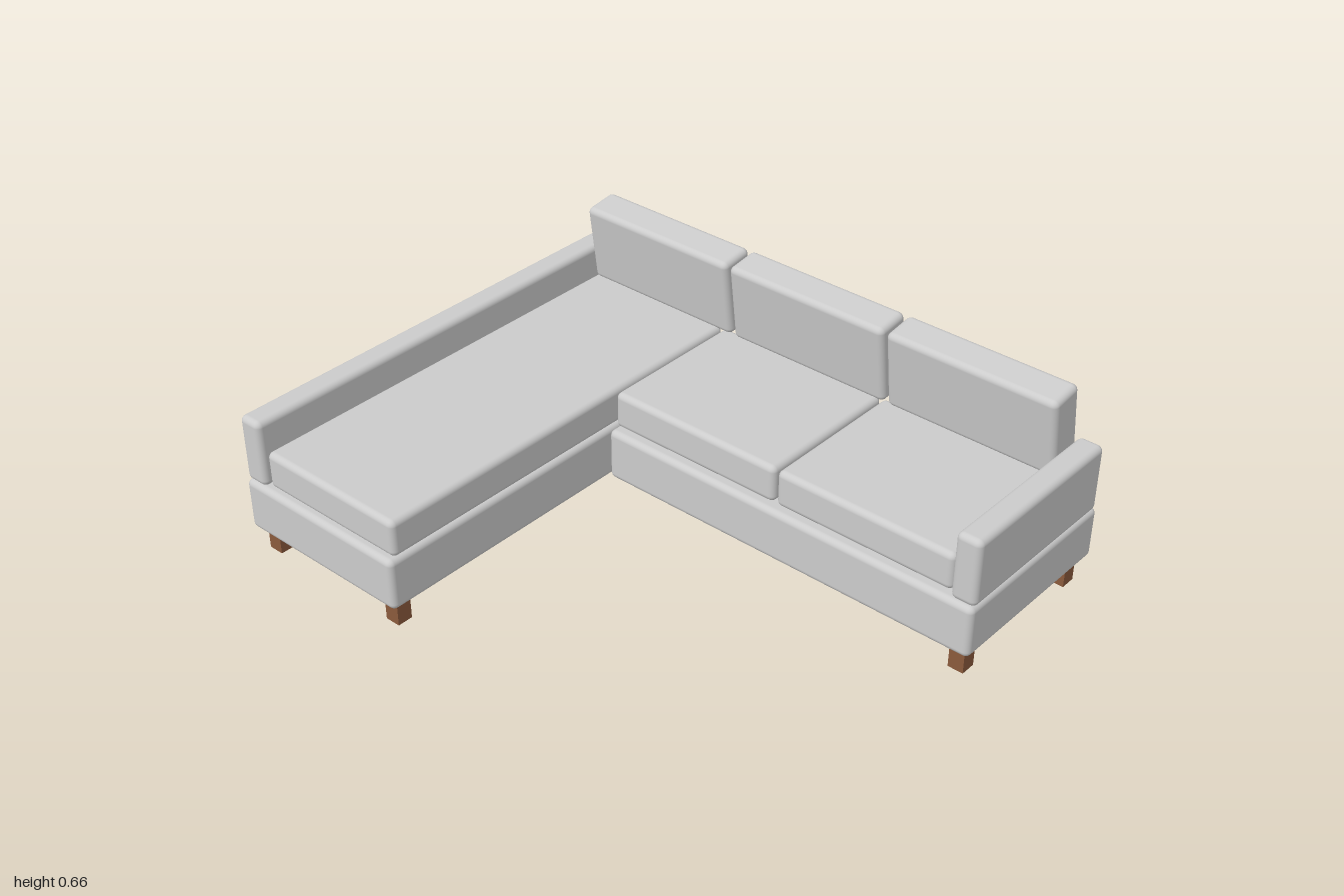
import * as THREE from 'three';
import { RoundedBoxGeometry } from 'three/addons/geometries/RoundedBoxGeometry.js';

export function createModel() {
  const sofa = new THREE.Group();
  sofa.name = 'cornerSofa';
  const fabric = new THREE.MeshStandardMaterial({ color: 0xcccccc });
  const wood = new THREE.MeshStandardMaterial({ color: 0x8a5a3c });

  // Soft-edged block given by its extents on each axis
  function block(name, [x0, x1], [y0, y1], [z0, z1], radius = 0.02) {
    const geometry = new RoundedBoxGeometry(x1 - x0, y1 - y0, z1 - z0, 4, radius);
    const mesh = new THREE.Mesh(geometry, fabric);
    mesh.name = name;
    mesh.position.set((x0 + x1) / 2, (y0 + y1) / 2, (z0 + z1) / 2);
    sofa.add(mesh);
    return mesh;
  }

  // Bases: long chaise and the shorter main seat
  const baseY = [0.085, 0.262];
  block('chaiseBase', [-1, -0.361], baseY, [-0.782, 0.782]);
  block('mainBase', [-0.359, 1], baseY, [-0.782, -0.13]);

  // Armrests
  const armY = [0.26, 0.487];
  block('chaiseArm', [-1, -0.915], armY, [-0.772, 0.775]);
  block('mainArm', [0.915, 1], armY, [-0.772, -0.14]);

  // Seat cushions
  const seatY = [0.262, 0.387];
  block('chaiseCushion', [-0.911, -0.365], seatY, [-0.69, 0.76]);
  block('seatCushion', [-0.356, 0.273], seatY, [-0.69, -0.16]);
  block('seatCushion', [0.282, 0.908], seatY, [-0.69, -0.16]);

  // Back cushions, leaning forward at the top
  for (const x of [-0.611, -0.003, 0.606]) {
    const cushion = block('backCushion', [x - 0.298, x + 0.298], [0.385, 0.66], [-0.77, -0.647]);
    cushion.rotation.x = THREE.MathUtils.degToRad(7.5);
  }

  // Square wooden legs
  const legGeometry = new THREE.BoxGeometry(0.052, 0.09, 0.052);
  const legSpots = [
    [-0.945, 0.72], [-0.417, 0.72], [-0.945, -0.718],
    [-0.417, -0.718], [0.945, -0.19], [0.945, -0.718],
  ];
  for (const [x, z] of legSpots) {
    const leg = new THREE.Mesh(legGeometry, wood);
    leg.name = 'leg';
    leg.position.set(x, 0.045, z);
    sofa.add(leg);
  }

  return sofa;
}
